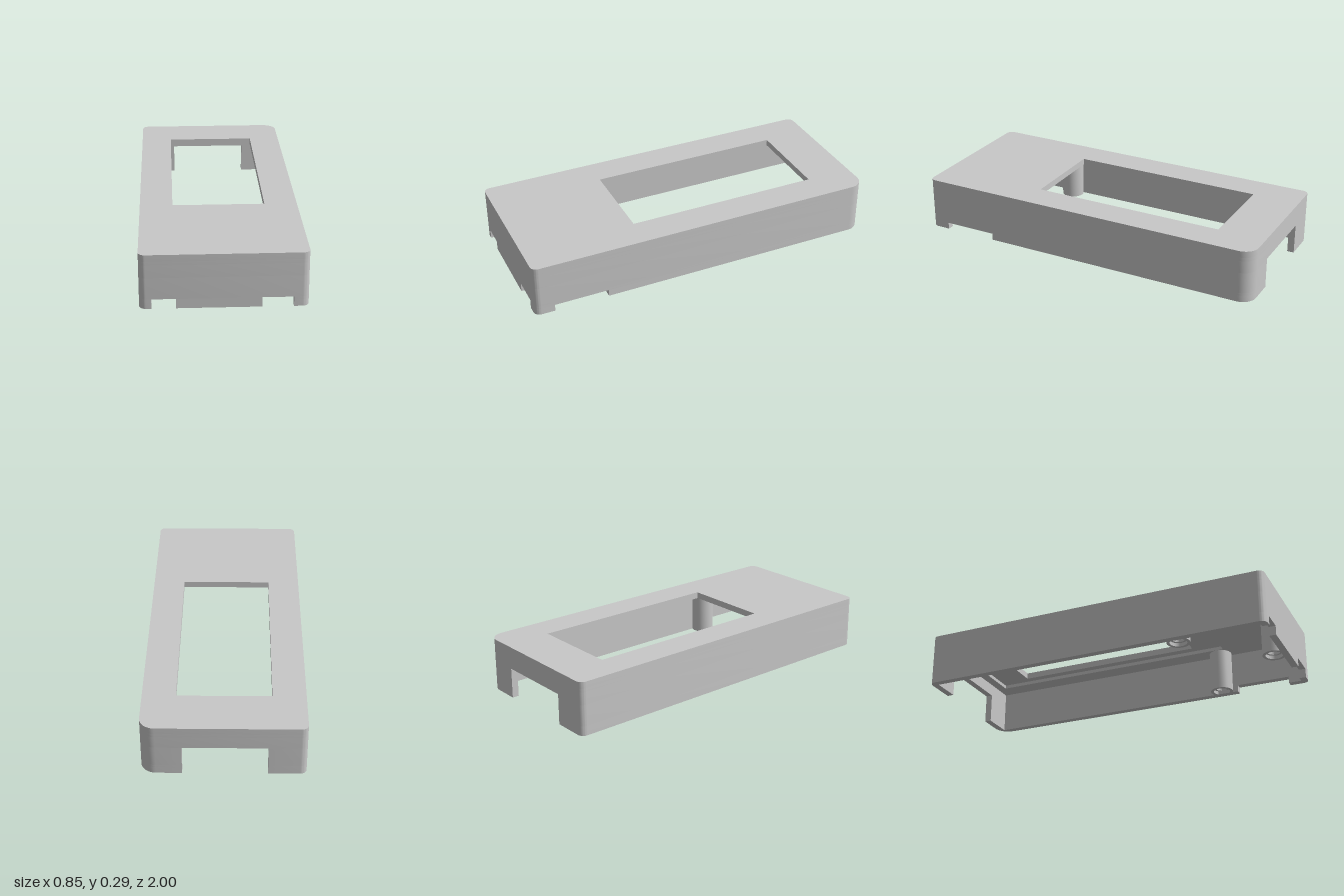
import * as THREE from 'three';
import { toCreasedNormals } from 'three/addons/utils/BufferGeometryUtils.js';

const W = 0.427, L = 1, T = 0.038;      // half width, half length, wall thickness
const IW = W - T, IL = L - T;           // inner half width and half length
const R = 0.035, BIG = 0.08;            // small and large corner radii
const TOP = 0.294, PLATE = 0.258, CEIL = 0.238;
const DOOR = 0.169, FRONT = 0.052, SIDE = 0.038;   // cut-out heights
const D0 = -0.228, D1 = 0.213;          // back opening in x

// Right-angled outline from [x, z, radius] corners
function outline(corners) {
  const pts = [];
  corners.forEach(([x, z, r], i) => {
    const p = new THREE.Vector2(x, z);
    if (!r) { pts.push(p); return; }
    const n = corners.length;
    const toward = (c) => new THREE.Vector2(c[0] - x, c[1] - z).normalize();
    const a = toward(corners[(i + n - 1) % n]), b = toward(corners[(i + 1) % n]);
    const c = p.clone().addScaledVector(a, r).addScaledVector(b, r);
    for (let k = 0; k <= 10; k++) {
      const t = (k / 10) * Math.PI / 2;
      pts.push(c.clone().addScaledVector(b, -r * Math.cos(t)).addScaledVector(a, -r * Math.sin(t)));
    }
  });
  return pts;
}

const rect = (x0, x1, z0, z1) => [[x0, z0], [x1, z0], [x1, z1], [x0, z1]];

export function createModel() {
  const group = new THREE.Group();
  const grey = new THREE.MeshStandardMaterial({ color: 0xc8c8c8 });
  grey.name = 'shell grey';

  const add = (name, geometry) => {
    const mesh = new THREE.Mesh(geometry, grey);
    mesh.name = name;
    group.add(mesh);
    return mesh;
  };

  // Horizontal slab between two heights, with an optional hole
  function slab(name, y0, y1, corners, hole) {
    const shape = new THREE.Shape(outline(corners));
    if (hole) shape.holes.push(new THREE.Path(outline(hole)));
    const geo = new THREE.ExtrudeGeometry(shape, { depth: y1 - y0, bevelEnabled: false });
    geo.rotateX(Math.PI / 2).translate(0, y1, 0);
    add(name, toCreasedNormals(geo, 0.6));
  }

  const body = [[-W, -L, R], [W, -L, BIG], [W, L, R], [-W, L, R]];

  // Top plate with window, and the shallow display pocket under it
  slab('topPlate', PLATE, TOP, body, rect(-0.25, 0.25, -0.734, 0.36));
  slab('displayPocket', CEIL, PLATE, body, rect(-0.291, 0.291, -0.91, 0.535));

  // Walls: closed ring, then a ring open at the back
  slab('upperWall', DOOR, CEIL, body, rect(-IW, IW, -IL, IL));
  slab('middleWall', FRONT, DOOR, [
    [D1, -L], [W, -L, BIG], [W, L, R], [-W, L, R], [-W, -L, R], [D0, -L],
    [D0, -IL], [-IW, -IL], [-IW, IL], [IW, IL], [IW, -IL], [D1, -IL],
  ]);

  // Lower wall pieces between the front and side notches
  slab('lowerRightWall', 0, FRONT, [
    [-0.365, L], [-W, L, R], [-W, -L, R], [D0, -L],
    [D0, -IL], [-IW, -IL], [-IW, IL], [-0.365, IL],
  ]);
  slab('lowerFrontWall', 0, FRONT, rect(-0.242, 0.191, IL, L));
  slab('lowerLeftWall', SIDE, FRONT, [
    [D1, -L], [W, -L, BIG], [W, L, R], [0.35, L],
    [0.35, IL], [IW, IL], [IW, -IL], [D1, -IL],
  ]);
  slab('leftBackFoot', 0, SIDE, [
    [D1, -L], [W, -L, BIG], [W, 0.585], [IW, 0.585], [IW, -IL], [D1, -IL],
  ]);
  slab('leftFrontFoot', 0, SIDE, [
    [W, 0.89], [W, L, R], [0.35, L], [0.35, IL], [IW, IL], [IW, 0.89],
  ]);

  // Hollow screw posts hanging from the ceiling
  const profile = [
    [0, 0.15], [0.035, 0.15], [0.035, 0.02], [0.047, 0.02], [0.047, 0], [0.064, 0], [0.064, 0.25],
  ].map(([r, y]) => new THREE.Vector2(r, y));
  const post = toCreasedNormals(new THREE.LatheGeometry(profile, 32), 0.6);
  [['leftPost', 0.356, 0.498], ['rightPost', -0.356, 0.498], ['frontPost', 0, 0.918]].forEach(([name, x, z]) => {
    add(name, post).position.set(x, 0, z);
  });

  return group;
}
